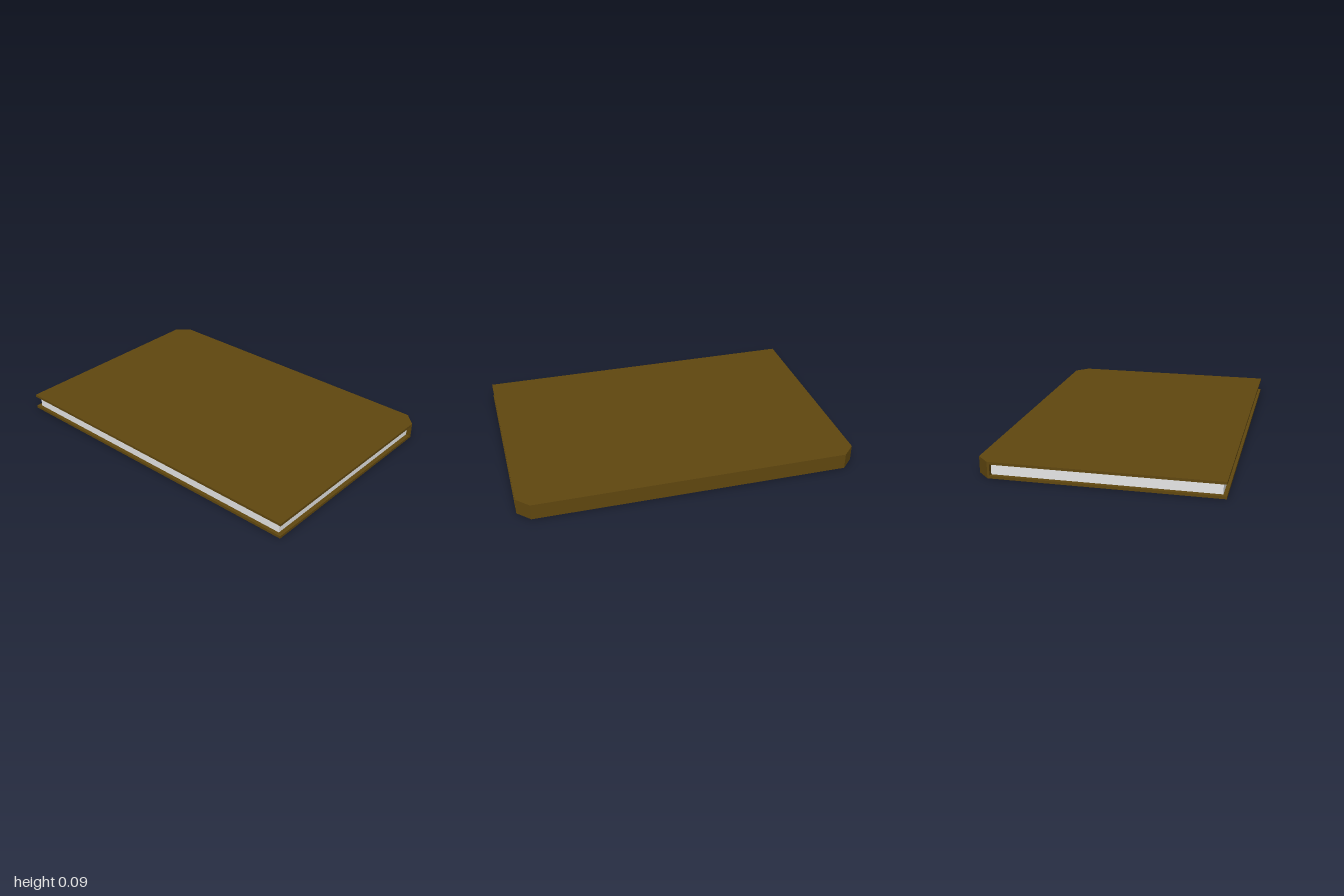
import * as THREE from 'three';

const HEIGHT = 0.095, COVER = 0.015, BACK = -0.683, FRONT = 0.683, CUT = 0.073;

// Flat slab from [x, z] corners, standing between two heights
function slab(name, corners, y0, y1, material) {
  const shape = new THREE.Shape(corners.map(([x, z]) => new THREE.Vector2(x, -z)));
  const geometry = new THREE.ExtrudeGeometry(shape, { depth: y1 - y0, bevelEnabled: false });
  geometry.rotateX(-Math.PI / 2);
  const mesh = new THREE.Mesh(geometry, material);
  mesh.name = name;
  mesh.position.y = y0;
  return mesh;
}

// Rectangle whose two back corners are cut off
function cutOutline(front) {
  return [
    [-1, front], [1, front], [1, BACK + CUT],
    [1 - CUT, BACK], [-1 + CUT, BACK], [-1, BACK + CUT],
  ];
}

export function createModel() {
  const leather = new THREE.MeshStandardMaterial({ color: 0x60470f });
  leather.name = 'brown leather';
  const paper = new THREE.MeshStandardMaterial({ color: 0xececec });
  paper.name = 'white paper';

  const book = new THREE.Group();
  book.name = 'book';

  // Covers
  book.add(slab('bottomCover', cutOutline(FRONT), 0, COVER, leather));
  book.add(slab('topCover', cutOutline(FRONT), HEIGHT - COVER, HEIGHT, leather));

  // Spine joining the covers along the back
  book.add(slab('spine', cutOutline(-0.597), COVER, HEIGHT - COVER, leather));

  // Page block, set in from the cover edges
  const pages = new THREE.Mesh(
    new THREE.BoxGeometry(1.95, HEIGHT - 2 * COVER, 1.267), paper);
  pages.name = 'pages';
  pages.position.set(0, HEIGHT / 2, 0.0285);
  book.add(pages);

  return book;
}
